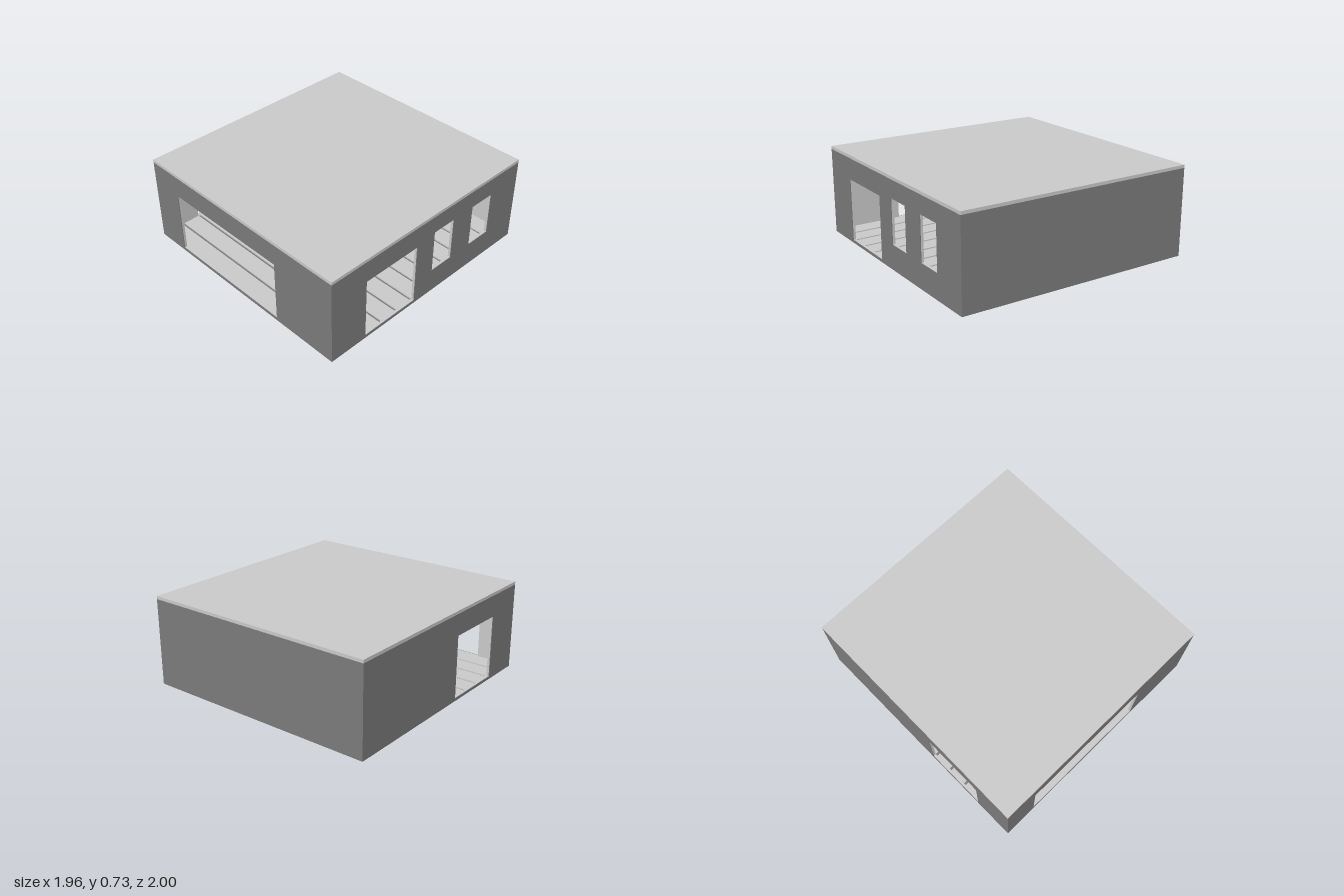
import * as THREE from 'three';

const W = 1.96, D = 2, WALL_H = 0.705, ROOF_H = 0.025;
const CLAD = 0.005, LINING = 0.02;
const light = new THREE.MeshStandardMaterial({ color: 0xcccccc });
const dark = new THREE.MeshStandardMaterial({ color: 0x7c7c7c });

// Upright panel whose outer face lies on local z = 0; holes are [x0, x1, y0, y1]
function panel(name, width, holes, thickness, material) {
  const shape = new THREE.Shape();
  shape.moveTo(-width / 2, 0).lineTo(width / 2, 0).lineTo(width / 2, WALL_H).lineTo(-width / 2, WALL_H).closePath();
  for (const [x0, x1, y0, y1] of holes) {
    const hole = new THREE.Path();
    hole.moveTo(x0, y0).lineTo(x0, y1).lineTo(x1, y1).lineTo(x1, y0).closePath();
    shape.holes.push(hole);
  }
  const geometry = new THREE.ExtrudeGeometry(shape, { depth: thickness, bevelEnabled: false });
  geometry.translate(0, 0, -thickness);
  const mesh = new THREE.Mesh(geometry, material);
  mesh.name = name;
  return mesh;
}

// Wall made of a thin dark outer skin and a light inner lining
function wall(name, skinWidth, liningWidth, distance, angle, holes) {
  const group = new THREE.Group();
  group.name = name;
  const skin = panel('outerSkin', skinWidth, holes, CLAD, dark);
  const lining = panel('innerLining', liningWidth, holes, LINING, light);
  skin.position.z = distance;
  lining.position.z = distance - CLAD;
  group.add(skin, lining);
  group.rotation.y = angle;
  return group;
}

function box(name, w, h, d, y, z, material) {
  const mesh = new THREE.Mesh(new THREE.BoxGeometry(w, h, d), material);
  mesh.name = name;
  mesh.position.set(0, y + h / 2, z);
  return mesh;
}

export function createModel() {
  const model = new THREE.Group();
  model.name = 'pavilion';

  // Walls: wide front opening, a doorway on each side, two windows on +x
  const sill = 0.022, head = 0.53;
  const longLining = W - 2 * CLAD, sideSkin = D - 2 * CLAD;
  const sideLining = D - 2 * (CLAD + LINING);
  model.add(
    wall('frontWall', W, longLining, D / 2, 0, [[-0.7, 0.41, sill, head]]),
    wall('backWall', W, longLining, D / 2, Math.PI, []),
    wall('leftWall', sideSkin, sideLining, W / 2, Math.PI / 2, [
      [-0.67, -0.155, sill, head],
      [0.03, 0.245, 0.2, 0.56],
      [0.46, 0.685, 0.2, 0.56],
    ]),
    wall('rightWall', sideSkin, sideLining, W / 2, -Math.PI / 2, [[0.155, 0.67, sill, head]]),
  );

  // Flat roof
  model.add(box('roof', W, ROOF_H, D, WALL_H, 0, light));

  // Floor base with spaced boards
  const inW = W - 2 * (CLAD + LINING), inD = sideLining;
  model.add(box('floorBase', inW, 0.01, inD, 0.002, 0, dark));
  const boards = new THREE.Group();
  boards.name = 'floorBoards';
  const count = 12, gap = 0.02, pitch = (inD + gap) / count;
  for (let i = 0; i < count; i++) {
    const z = -inD / 2 + (pitch - gap) / 2 + i * pitch;
    boards.add(box('floorBoard', inW, 0.01, pitch - gap, 0.012, z, light));
  }
  model.add(boards);
  return model;
}
